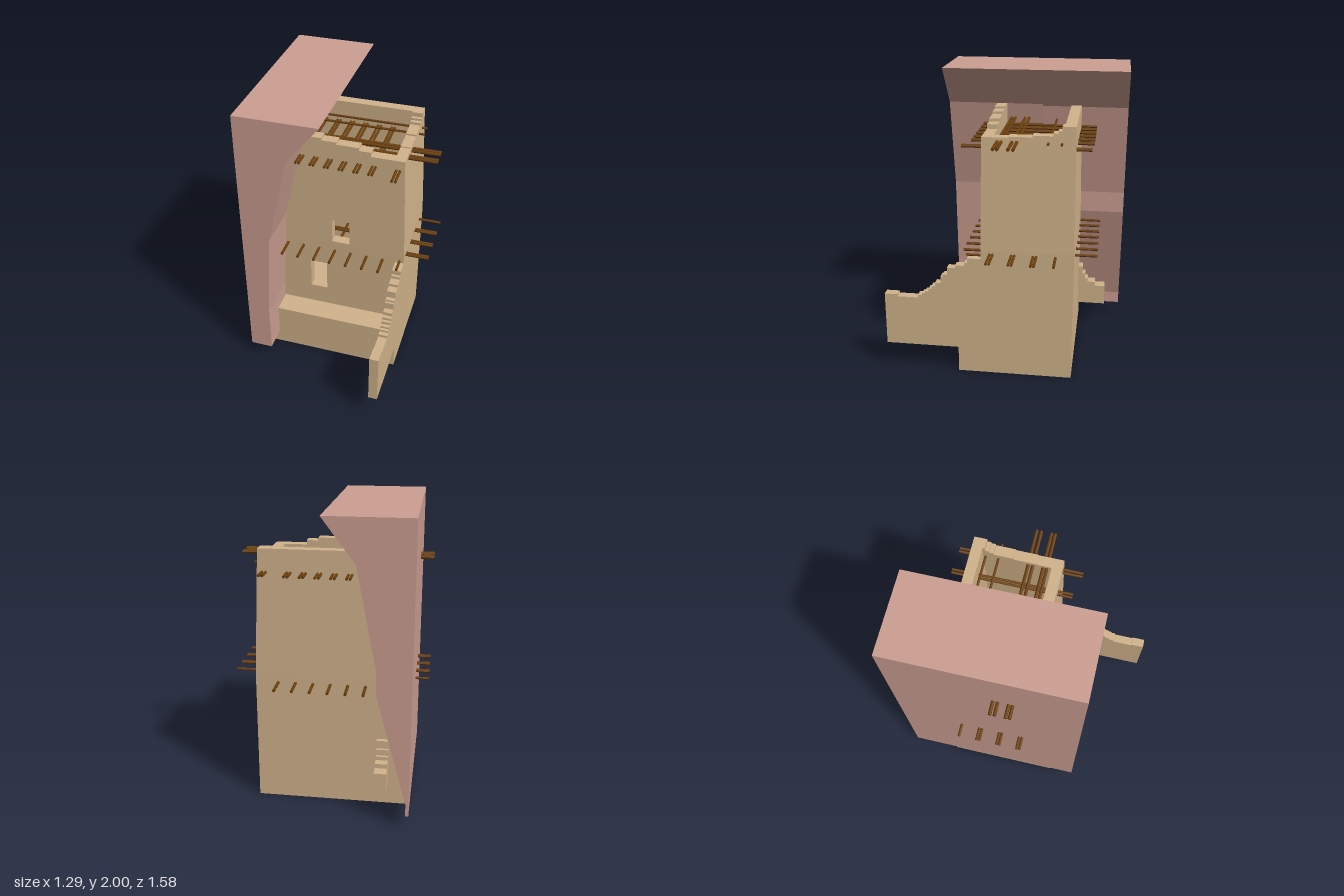
import * as THREE from 'three';

const clay = new THREE.MeshStandardMaterial({ color: 0xd2b48c, flatShading: true });
const rock = new THREE.MeshStandardMaterial({ color: 0xcd9f92, flatShading: true });
const wood = new THREE.MeshStandardMaterial({ color: 0x6b3f0c, flatShading: true });

const SPLIT = 0.9, TOP = 1.73; // the walls lean inwards between these heights
const lean = (y) => Math.max(0, (y - SPLIT) / (TOP - SPLIT));

export function createModel() {
  const model = new THREE.Group();

  const add = (name, geometry, material) => {
    const mesh = new THREE.Mesh(geometry, material);
    mesh.name = name;
    model.add(mesh);
    return mesh;
  };

  // Outline in (x, y), pushed from z0 to z1, with rectangular holes [x0, y0, x1, y1]
  const extrudeZ = (points, z0, z1, holes = []) => {
    const shape = new THREE.Shape(points.map(([x, y]) => new THREE.Vector2(x, y)));
    for (const [x0, y0, x1, y1] of holes) {
      shape.holes.push(new THREE.Path([[x0, y0], [x0, y1], [x1, y1], [x1, y0]].map(([x, y]) => new THREE.Vector2(x, y))));
    }
    return new THREE.ExtrudeGeometry(shape, { depth: z1 - z0, bevelEnabled: false }).translate(0, 0, z0);
  };

  // Outline in (z, y), pushed from x0 to x1
  const extrudeX = (points, x0, x1) =>
    extrudeZ(points.map(([z, y]) => [-z, y]), x0, x1).rotateY(Math.PI / 2);

  // Slide vertices sideways as they rise, so that a wall leans
  const shear = (geometry, dx, dz) => {
    const p = geometry.attributes.position;
    for (let i = 0; i < p.count; i++) {
      const t = lean(p.getY(i));
      p.setX(i, p.getX(i) + dx * t);
      p.setZ(i, p.getZ(i) + dz * t);
    }
    geometry.computeVertexNormals();
    return geometry;
  };

  // Turn [position, height] treads into a stepped outline, each tread ending at its position
  const steps = (start, treads) => {
    const out = [];
    let from = start;
    for (const [to, y] of treads) {
      out.push([from, y], [to, y]);
      from = to;
    }
    return out;
  };

  // Overhanging cliff: front and rear halves have slightly different faces
  const cliff = (name, face, z0, z1) =>
    add(name, extrudeZ([[-0.555, 0.095], ...face, [0, 2], [-0.555, 2]], z0, z1), rock);
  cliff('cliffFront', [[-0.4, 0.095], [-0.4, 0.45], [-0.36, 1.1], [-0.22, 1.73]], -0.2, 0.46);
  cliff('cliffRear', [[-0.535, 0.095], [-0.535, 0.18], [-0.335, 0.92], [-0.335, 1.07], [-0.21, 1.72]], -0.79, -0.2);

  // Base with the front ledge
  add('base', new THREE.BoxGeometry(1.025, 0.33, 0.77).translate(-0.0275, 0.165, -0.095), clay);

  // Lower storey walls
  const L = -0.54, R = 0.485;
  const lower = [[L, 0.33], [R, 0.33], [R, SPLIT], [L, SPLIT]];
  add('lowerFrontWall', extrudeZ(lower, 0.06, 0.13, [[-0.19, 0.48, -0.07, 0.71]]), clay);
  add('lowerBackWall', extrudeZ(lower, -0.48, -0.41), clay);
  add('lowerSideWall', extrudeX([[-0.41, 0.33], [0.06, 0.33], [0.06, SPLIT], [-0.41, SPLIT]], R - 0.07, R), clay);

  // Upper storey walls with worn, stepped parapets
  const edge = (y) => R - 0.035 * lean(y);
  const frontTop = steps(L, [[-0.1, 1.73], [0, 1.715], [0.15, 1.7], [0.23, 1.68], [edge(1.65), 1.65]]).reverse();
  add('upperFrontWall', shear(extrudeZ([[L, SPLIT], [R, SPLIT], ...frontTop], 0.06, 0.13,
    [[-0.03, 0.92, 0.095, 1.1]]), 0, -0.01), clay);
  add('upperBackWall', shear(extrudeZ([[L, SPLIT], [R, SPLIT], [edge(TOP), TOP], [L, TOP]],
    -0.48, -0.41), 0, 0.01), clay);
  const sideTop = steps(0.051, [[-0.05, 1.65], [-0.2, 1.657], [-0.33, 1.668], [-0.36, 1.685], [-0.385, 1.7], [-0.401, 1.73]]);
  add('upperSideWall', shear(extrudeX([[-0.41, SPLIT], [0.06, SPLIT], ...sideTop], R - 0.07, R), -0.035, 0), clay);

  // Stepped wall running forward from the front corner
  const stair = steps(0.79, [[0.7, 0.55], [0.56, 0.535], [0.53, 0.555], [0.51, 0.57], [0.485, 0.585], [0.465, 0.605],
    [0.44, 0.625], [0.4, 0.65], [0.385, 0.7], [0.355, 0.715], [0.3, 0.765], [0.24, 0.785], [0.22, 0.805], [0.12, 0.84]]);
  add('stairWall', extrudeX([[0.12, 0.18], [0.79, 0.18], ...stair], 0.425, 0.486), clay);

  // Small stepped buttress on the back
  const buttress = steps(-0.47, [[-0.51, 0.475], [-0.53, 0.42], [-0.55, 0.38], [-0.605, 0.355], [-0.68, 0.325]]);
  add('rearButtress', extrudeX([[-0.68, 0.18], [-0.47, 0.18], ...buttress], -0.4, -0.32), clay);

  // Wooden beams
  const beamZ = (name, x, y, z0, z1, r = 0.01) =>
    add(name, new THREE.CylinderGeometry(r, r, z1 - z0, 8).rotateX(Math.PI / 2).translate(x, y, (z0 + z1) / 2), wood);
  const beamX = (name, z, y, half, r = 0.01) =>
    add(name, new THREE.CylinderGeometry(r, r, half * 2, 8).rotateZ(Math.PI / 2).translate(0, y, z), wood);

  for (let i = 0; i < 6; i++) {
    for (const d of [-0.011, 0.011]) beamZ('roofBeam', -0.235 + i * 0.0975 + d, 1.58, -0.58, 0.22, 0.009);
  }
  for (const x of [0.4, 0.423]) beamZ('roofBeam', x, 1.58, -0.57, 0.255, 0.009);
  for (let i = 0; i < 7; i++) beamZ('floorBeam', -0.355 + i * 0.115, 0.84, -0.625, 0.27);
  beamZ('floorBeam', 0.455, 0.855, -0.4, 0.23, 0.009);

  for (const z of [0.02, -0.005, -0.073, -0.103]) beamX('roofCrossBeam', z, 1.622, 0.643, 0.011);
  for (const z of [-0.3, -0.385]) beamX('roofCrossPole', z, 1.622, 0.49, 0.008);
  for (const z of [0.07, 0.05, -0.073, -0.093, -0.215, -0.235, -0.36]) beamX('floorCrossBeam', z, 0.874, 0.643, 0.009);

  return model;
}
